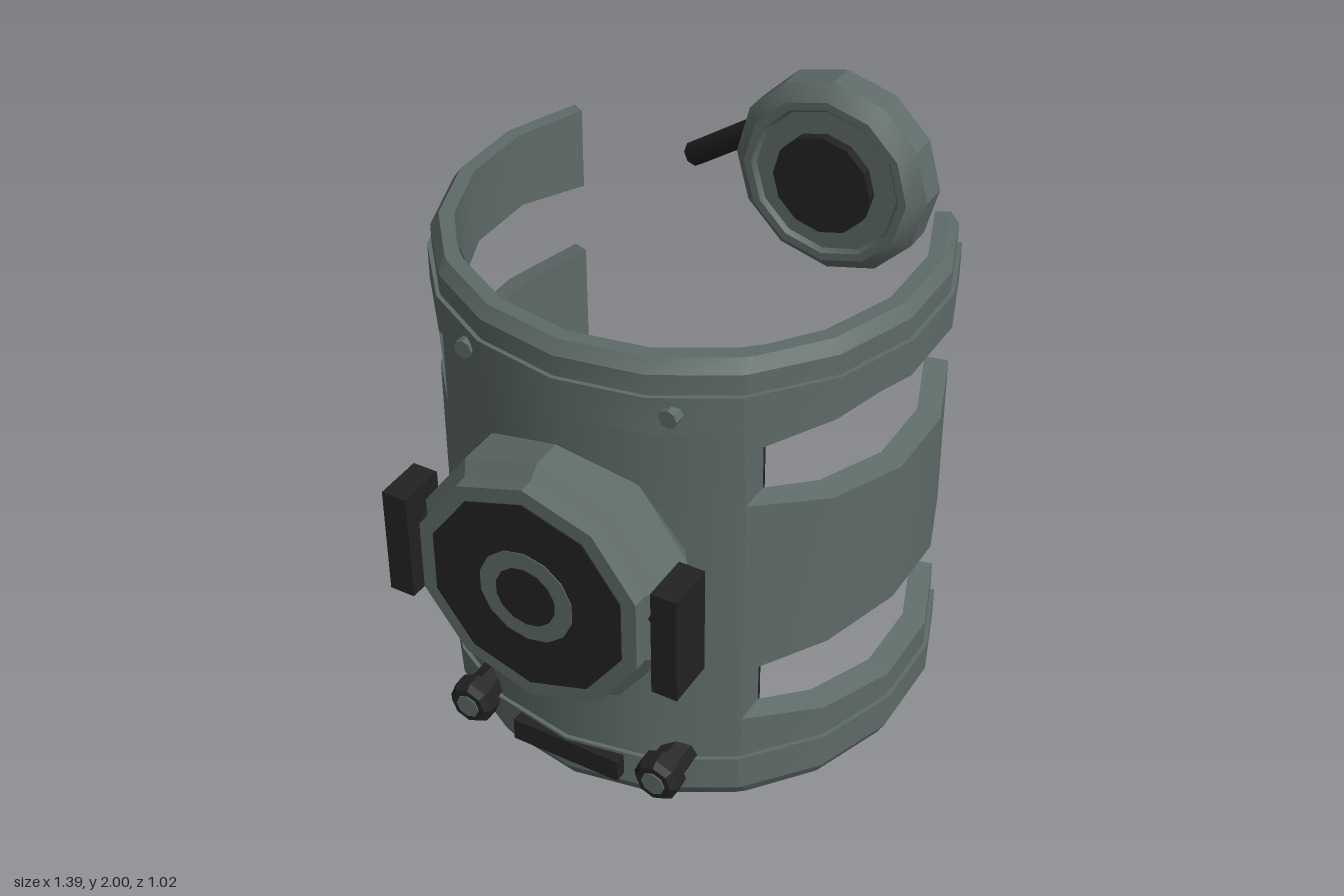
import * as THREE from 'three';
import { toCreasedNormals } from 'three/addons/utils/BufferGeometryUtils.js';

const CX = -0.113, CZ = -0.215;   // axis of the curved shell
const EDGE = 0.378;               // half width of the front panel
const INNER = 0.53, OUTER = 0.585, RIDGE = 0.595, LIP = 0.565;
const CREASE = 0.45;

export function createModel() {
  const model = new THREE.Group();
  const grey = new THREE.MeshStandardMaterial({ color: 0x5e6b68 });
  grey.name = 'greenGrey';
  const dark = new THREE.MeshStandardMaterial({ color: 0x222222 });
  dark.name = 'charcoal';

  function add(name, geometry, material, x = 0, y = 0, z = 0) {
    const mesh = new THREE.Mesh(geometry, material);
    mesh.name = name;
    mesh.position.set(x, y, z);
    model.add(mesh);
    return mesh;
  }

  // Sweeps a closed [radius, height] section around the shell axis.
  // An angle of +-'edge' puts the column on the flat plane of the panel's side;
  // a height may be a function of the sideways distance from the axis.
  function sweep(section, angles) {
    const columns = angles.map(angle => section.map(([r, h]) => {
      const a = angle === 'edge' ? Math.asin(EDGE / r)
        : angle === '-edge' ? -Math.asin(EDGE / r)
        : THREE.MathUtils.degToRad(angle);
      const dx = r * Math.sin(a);
      const y = typeof h === 'function' ? h(Math.abs(dx)) : h;
      return [CX + dx, y, CZ + r * Math.cos(a)];
    }));
    const pos = [];
    const tri = (a, b, c) => pos.push(...a, ...b, ...c);
    const n = section.length, last = columns[columns.length - 1], first = columns[0];
    for (let i = 0; i < columns.length - 1; i++) {
      for (let j = 0; j < n; j++) {
        const k = (j + 1) % n, A = columns[i], B = columns[i + 1];
        tri(A[j], B[j], B[k]);
        tri(A[j], B[k], A[k]);
      }
    }
    for (let j = 1; j < n - 1; j++) {
      tri(first[0], first[j], first[j + 1]);
      tri(last[0], last[j + 1], last[j]);
    }
    const g = new THREE.BufferGeometry();
    g.setAttribute('position', new THREE.Float32BufferAttribute(pos, 3));
    return toCreasedNormals(g, CREASE);
  }

  // Turned part facing +z; profile is [radius, z] from back to front.
  function turned(name, material, profile, sides, x, y, z = 0) {
    const g = new THREE.LatheGeometry(profile.map(p => new THREE.Vector2(...p)), sides);
    g.rotateX(Math.PI / 2);
    return add(name, toCreasedNormals(g, CREASE), material, x, y, z);
  }
  const disc = (r, z0, z1) => [[0, z0], [r, z0], [r, z1], [0, z1]];

  // Shell: front panel and three pairs of side bands
  const foot = [[INNER, 0], [LIP, 0], [OUTER, 0.035], [OUTER, 0.06],
    [RIDGE, 0.06], [RIDGE, 0.135], [OUTER, 0.135]];
  const crown = [[OUTER, 1.06], [RIDGE, 1.06], [RIDGE, 1.15], [OUTER, 1.15],
    [OUTER, 1.2], [LIP, 1.23], [INNER, 1.23]];
  const slope = (y, k) => d => y + k * (d - EDGE);
  const flare = (y, k) => [[INNER, slope(y, k)], [OUTER, slope(y, k)]];

  const panelAngles = ['-edge', -39, -20, 0, 20, 39, 'edge'];
  add('frontPanel', sweep([...foot, ...crown], panelAngles), grey);

  const bands = {
    lowerBand: [...foot, ...flare(0.25, -0.25).reverse()],
    middleBand: [...flare(0.39, 0.25), ...flare(0.86, -0.25).reverse()],
    upperBand: [...flare(1.0, 0.29), ...crown],
  };
  for (const [name, section] of Object.entries(bands)) {
    add(name + 'Left', sweep(section, ['edge', 60, 80, 100, 120]), grey);
    add(name + 'Right', sweep(section, [-120, -100, -80, -60, '-edge']), grey);
  }

  // Dark lining behind the front panel
  const lining = [[INNER - 0.006, 0.003], [INNER + 0.004, 0.003],
    [INNER + 0.004, 1.215], [INNER - 0.006, 1.215]];
  add('lining', sweep(lining, panelAngles), dark);

  // Round front housing with its face plates
  const HY = 0.658;
  turned('housing', grey, [[0, 0.28], [0.27, 0.28], [0.315, 0.34], [0.315, 0.44],
    [0.28, 0.475], [0.285, 0.475], [0.285, 0.505], [0, 0.505]], 10, CX, HY);
  turned('housingFace', dark, disc(0.247, 0.503, 0.508), 10, CX, HY);
  turned('housingRing', grey, disc(0.118, 0.506, 0.51), 14, CX, HY);
  turned('housingCentre', dark, disc(0.075, 0.508, 0.512), 14, CX, HY);

  // Side grips, bottom knobs and rivets, mirrored about the shell axis
  for (const s of [-1, 1]) {
    const side = s > 0 ? 'Left' : 'Right';
    add('grip' + side, new THREE.BoxGeometry(0.062, 0.27, 0.118), dark, CX + s * 0.336, HY, 0.444);
    const link = new THREE.CylinderGeometry(0.045, 0.045, 0.08, 8);
    link.rotateZ(Math.PI / 2);
    add('gripLink' + side, link, dark, CX + s * 0.285, HY + 0.025, 0.42);
    const x = CX + s * 0.25;
    turned('knob' + side, dark, [[0, 0.28], [0.042, 0.28], [0.042, 0.35], [0.057, 0.36],
      [0.057, 0.395], [0.045, 0.41], [0, 0.41]], 8, x, 0.14);
    turned('knobCap' + side, grey, disc(0.03, 0.408, 0.413), 8, x, 0.14);
    turned('rivet' + side, grey, disc(0.022, 0.29, 0.336), 8, x, 1.107);
  }
  add('slot', new THREE.BoxGeometry(0.28, 0.058, 0.07), dark, CX, 0.099, 0.35);

  // Bent arm
  const joints = [[-0.112, 1.38, -0.213], [0.235, 1.645, -0.115], [0.505, 1.812, 0.33]]
    .map(p => new THREE.Vector3(...p));
  const up = new THREE.Vector3(0, 1, 0);
  for (let i = 0; i < 2; i++) {
    const dir = joints[i + 1].clone().sub(joints[i]);
    const g = toCreasedNormals(new THREE.CylinderGeometry(0.028, 0.028, dir.length(), 8), 0.9);
    const mid = joints[i].clone().addScaledVector(dir, 0.5);
    add(i ? 'armUpper' : 'armLower', g, dark, mid.x, mid.y, mid.z)
      .quaternion.setFromUnitVectors(up, dir.normalize());
  }
  add('armElbow', new THREE.SphereGeometry(0.028, 8, 6), dark, ...joints[1].toArray());

  // Round head at the end of the arm
  turned('head', grey, [[0, 0.316], [0.17, 0.316], [0.188, 0.335], [0.188, 0.388],
    [0.16, 0.414], [0.145, 0.414], [0.138, 0.406], [0, 0.406]], 12, 0.505, 1.812);
  turned('headLens', dark, disc(0.095, 0.4, 0.425), 12, 0.505, 1.812);

  return model;
}
